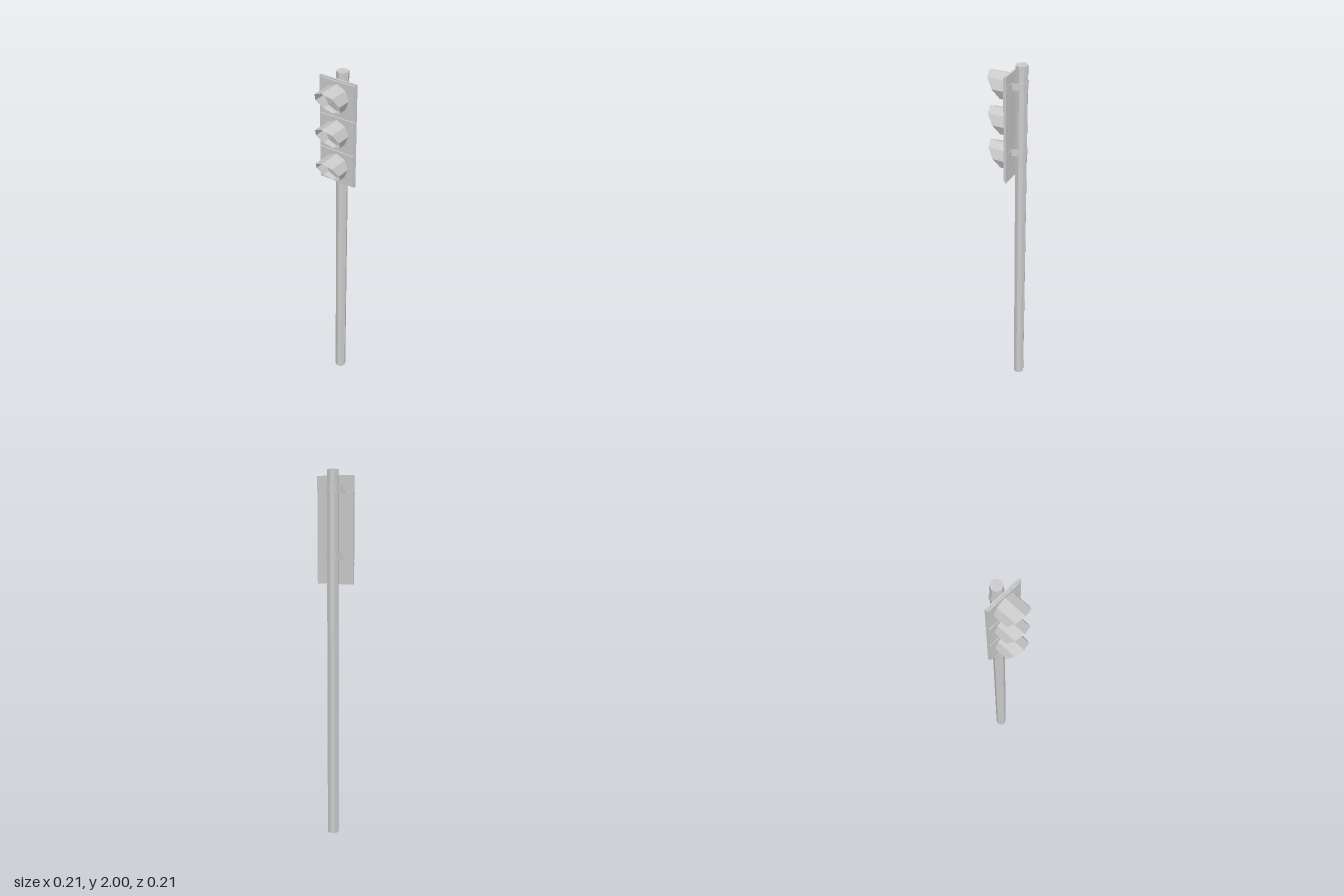
import * as THREE from 'three';

const grey = new THREE.MeshStandardMaterial({ color: 0xcccccc, flatShading: true });
const greyThin = new THREE.MeshStandardMaterial({ color: 0xcccccc, flatShading: true, side: THREE.DoubleSide });

function part(parent, name, geometry, x, y, z, material = grey) {
  const mesh = new THREE.Mesh(geometry, material);
  mesh.name = name;
  mesh.position.set(x, y, z);
  parent.add(mesh);
  return mesh;
}

// Eight-sided open hood, its front edge cut back towards the bottom
function visorGeometry(radius, back) {
  const g = new THREE.CylinderGeometry(radius, radius, 1, 8, 1, true).rotateX(Math.PI / 2);
  const p = g.attributes.position;
  for (let i = 0; i < p.count; i++) {
    p.setZ(i, p.getZ(i) > 0 ? 0.055 + p.getY(i) * 0.67 : back);
  }
  g.computeVertexNormals();
  return g;
}

// Thin strap bent around the back of the pole, with flat flanges on the plate
function strapGeometry(height) {
  const outer = [[0.1, 0.041], [0.047, 0.041], [0.028, 0.094], [0, 0.105]];
  const inner = [[0, 0.1025], [0.026, 0.092], [0.045, 0.038], [0.1, 0.038]];
  const mirror = (pts) => pts.map(([x, y]) => [-x, y]).reverse();
  const points = [...outer, ...mirror(outer).slice(1), ...mirror(inner), ...inner.slice(1)];
  const shape = new THREE.Shape(points.map(([x, y]) => new THREE.Vector2(x, y)));
  const g = new THREE.ExtrudeGeometry(shape, { depth: height, bevelEnabled: false });
  return g.rotateX(-Math.PI / 2).translate(0, -height / 2, 0);
}

export function createModel() {
  const model = new THREE.Group();
  model.name = 'trafficLight';

  // Pole and back plate
  part(model, 'pole', new THREE.CylinderGeometry(0.0315, 0.0315, 2, 8), 0, 1, -0.071);
  part(model, 'backPlate', new THREE.BoxGeometry(0.212, 0.565, 0.01), 0, 1.688, -0.034);

  // Three signal units, each a raised panel with a lens and hood
  const panel = new THREE.BoxGeometry(0.2, 0.176, 0.008);
  const lens = new THREE.ConeGeometry(0.069, 0.012, 8, 1, true).rotateX(Math.PI / 2);
  const visor = visorGeometry(0.07, -0.023);
  ['lower', 'middle', 'upper'].forEach((name, i) => {
    const unit = new THREE.Group();
    unit.name = name + 'Signal';
    unit.position.y = 1.5 + i * 0.188;
    part(unit, 'panel', panel, 0, 0, -0.026);
    part(unit, 'lens', lens, 0, 0, -0.016);
    part(unit, 'visor', visor, 0, 0.004, 0, greyThin);
    model.add(unit);
  });

  // Mounting straps
  const strap = strapGeometry(0.036);
  part(model, 'lowerStrap', strap, 0, 1.552, 0);
  part(model, 'upperStrap', strap, 0, 1.902, 0);

  return model;
}
